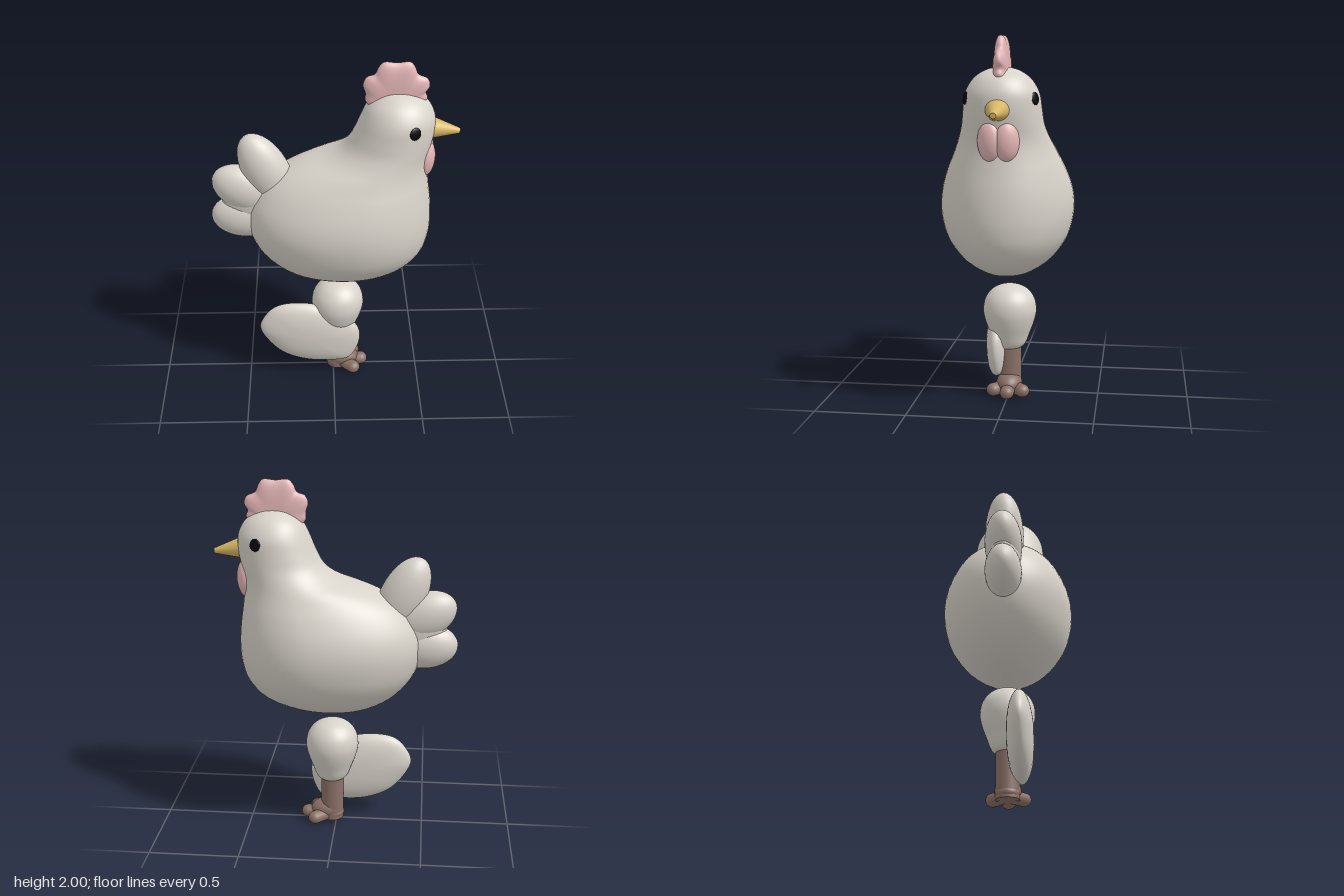
import * as THREE from 'three';

const material = (name, color) => {
  const m = new THREE.MeshStandardMaterial({ color });
  m.name = name;
  return m;
};
const V = (x, y, z = 0) => new THREE.Vector3(x, y, z);

// Surface from closed rings of equal length; each ring is an array of Vector3.
function skin(rings) {
  const n = rings[0].length, index = [];
  for (let r = 0; r < rings.length - 1; r++) {
    for (let i = 0; i < n; i++) {
      const a = r * n + i, b = r * n + (i + 1) % n;
      index.push(a, a + n, b, b, a + n, b + n);
    }
  }
  const g = new THREE.BufferGeometry().setFromPoints(rings.flat());
  g.setIndex(index);
  g.computeVertexNormals();
  return g;
}

// Body, neck and head: level slices [y, back x, front x, half width, x of widest point]
function bodyGeometry() {
  const rows = [
    [0.688, 0.0199, 0.0201, 0.0002, 0.02], [0.70, -0.10, 0.14, 0.07, 0.03],
    [0.73, -0.21, 0.29, 0.145, 0.05], [0.80, -0.325, 0.425, 0.24, 0.07],
    [0.90, -0.415, 0.502, 0.315, 0.09], [1.0, -0.46, 0.53, 0.351, 0.1],
    [1.1, -0.472, 0.536, 0.363, 0.1], [1.2, -0.45, 0.53, 0.35, 0.12],
    [1.3, -0.385, 0.516, 0.316, 0.16], [1.37, -0.295, 0.507, 0.284, 0.19],
    [1.42, -0.18, 0.503, 0.262, 0.215], [1.46, -0.055, 0.503, 0.245, 0.245],
    [1.5, 0.025, 0.508, 0.23, 0.275], [1.55, 0.075, 0.52, 0.216, 0.305],
    [1.62, 0.112, 0.533, 0.207, 0.32], [1.7, 0.145, 0.533, 0.196, 0.335],
    [1.76, 0.175, 0.508, 0.166, 0.335], [1.8, 0.215, 0.468, 0.127, 0.335],
    [1.83, 0.27, 0.405, 0.068, 0.335], [1.84, 0.3349, 0.3351, 0.0002, 0.335],
  ];
  const spline = (pts) => new THREE.CatmullRomCurve3(pts, false, 'catmullrom');
  const side = spline(rows.map((r) => V(r[0], r[1], r[2])));
  const width = spline(rows.map((r) => V(r[3], r[4])));
  const rings = [], steps = 76, n = 56;
  for (let s = 0; s <= steps; s++) {
    const p = side.getPoint(s / steps), w = width.getPoint(s / steps), ring = [];
    for (let i = 0; i < n; i++) {
      const a = (i / n) * Math.PI * 2, c = Math.cos(a);
      ring.push(V(w.y + c * (c > 0 ? p.z - w.y : w.y - p.y), p.x, w.x * Math.sin(a)));
    }
    rings.push(ring);
  }
  return skin(rings);
}

// Domed lens with a curved counter-clockwise outline; a low power gives fuller edges.
function pillow(outline, center, half, power) {
  const curve = new THREE.CatmullRomCurve3(outline.map(([x, y]) => V(x, y)), true);
  const edge = curve.getPoints(72).slice(0, 72);
  const rings = [];
  for (let s = 0; s <= 24; s++) {
    const t = (s / 24) * Math.PI, k = Math.max(Math.sin(t), 0.00001) ** power;
    rings.push(edge.map((p) => V(
      center.x + (p.x - center.x) * k,
      center.y + (p.y - center.y) * k,
      center.z + half * Math.cos(t))));
  }
  return skin(rings);
}

export function createModel() {
  const group = new THREE.Group();
  group.name = 'chicken';
  const feather = material('feather', 0xd8d3ca);
  const pink = material('combPink', 0xe4b6b6);
  const horn = material('beakYellow', 0xd7b664);
  const brown = material('legBrown', 0x8a7066);
  const black = material('eyeBlack', 0x080808);

  const add = (name, geometry, mat, x = 0, y = 0, z = 0) => {
    const mesh = new THREE.Mesh(geometry, mat);
    mesh.name = name;
    mesh.position.set(x, y, z);
    group.add(mesh);
    return mesh;
  };
  const blob = (name, mat, pos, radii, turn = 0) => {
    const mesh = add(name, new THREE.SphereGeometry(1, 32, 20), mat, ...pos);
    mesh.scale.set(...radii);
    mesh.rotation.z = turn;
    return mesh;
  };

  add('body', bodyGeometry(), feather);

  // Tail: three fanned lobes joined by a thinner web
  blob('upperTail', feather, [-0.36, 1.37, 0], [0.24, 0.125, 0.105], 2.02);
  blob('middleTail', feather, [-0.47, 1.26, 0], [0.2, 0.13, 0.1], 2.7);
  blob('lowerTail', feather, [-0.485, 1.09, 0], [0.187, 0.128, 0.097], 3.08);
  blob('tailWeb', feather, [-0.41, 1.21, 0], [0.2, 0.21, 0.092]);

  // Comb: rounded scalloped crest along the crown
  add('comb', pillow([
    [0.33, 1.72], [0.47, 1.77], [0.488, 1.80], [0.478, 1.83], [0.497, 1.865], [0.485, 1.905],
    [0.435, 1.93], [0.42, 1.965], [0.395, 1.997], [0.325, 1.993], [0.258, 1.998], [0.23, 1.97],
    [0.212, 1.932], [0.17, 1.915], [0.152, 1.875], [0.165, 1.825], [0.165, 1.785], [0.2, 1.75],
  ], V(0.328, 1.79, 0), 0.038, 0.5), pink);

  // Beak
  const beak = add('beak', new THREE.CylinderGeometry(0.016, 0.068, 0.165, 32), horn, 0.586, 1.615, 0);
  beak.rotation.z = -Math.PI / 2 - 0.14;
  beak.scale.x = 0.9;

  for (const s of [1, -1]) {
    // Eyes lie flat on the sides of the head
    const eye = blob(s > 0 ? 'leftEye' : 'rightEye', black, [0.415, 1.68, s * 0.179], [0.033, 0.034, 0.009]);
    eye.lookAt(0.415 + 0.45, 1.68 + 0.13, s * (0.179 + 0.88));
    // Wattles under the beak hug the throat
    const wattle = blob('wattle', pink, [0.492, 1.465, s * 0.046], [0.047, 0.104, 0.064], -0.04);
    wattle.rotation.y = -s * 0.4;
  }

  // Thigh
  const thigh = new THREE.SplineCurve([
    [0, 0.26], [0.055, 0.265], [0.088, 0.29], [0.112, 0.35], [0.138, 0.42], [0.15, 0.485],
    [0.138, 0.55], [0.1, 0.6], [0.05, 0.625], [0, 0.632],
  ].map((p) => new THREE.Vector2(...p))).getPoints(36);
  thigh.forEach((p) => { p.x = Math.max(p.x, 0); });
  add('thigh', new THREE.LatheGeometry(thigh, 40), feather, 0.025, 0, 0);

  // Shank, heel and three spread toes
  add('shank', new THREE.CylinderGeometry(0.065, 0.065, 0.26, 32), brown, 0.025, 0.145, 0);
  blob('heel', brown, [0.055, 0.068, 0], [0.095, 0.06, 0.072], -0.1);
  for (const [angle, length] of [[-0.75, 0.12], [0, 0.135], [0.75, 0.12]]) {
    const toe = new THREE.CapsuleGeometry(0.04, length, 8, 20);
    toe.rotateZ(-Math.PI / 2);
    toe.translate(length / 2, 0, 0);
    const mesh = add('toe', toe, brown, 0.03, 0.04, 0);
    mesh.rotation.y = angle;
    mesh.scale.y = 0.92;
  }
  blob('sole', brown, [0.02, 0.045, 0], [0.065, 0.04, 0.065]);

  // Wing
  add('wing', pillow([
    [0.155, 0.28], [0.14, 0.345], [0.06, 0.43], [-0.06, 0.49], [-0.19, 0.515], [-0.32, 0.5],
    [-0.385, 0.45], [-0.43, 0.355], [-0.385, 0.255], [-0.3, 0.165], [-0.17, 0.11],
    [-0.02, 0.098], [0.09, 0.115], [0.14, 0.195],
  ], V(-0.12, 0.3, 0.072), 0.073, 0.9), feather);

  return group;
}
